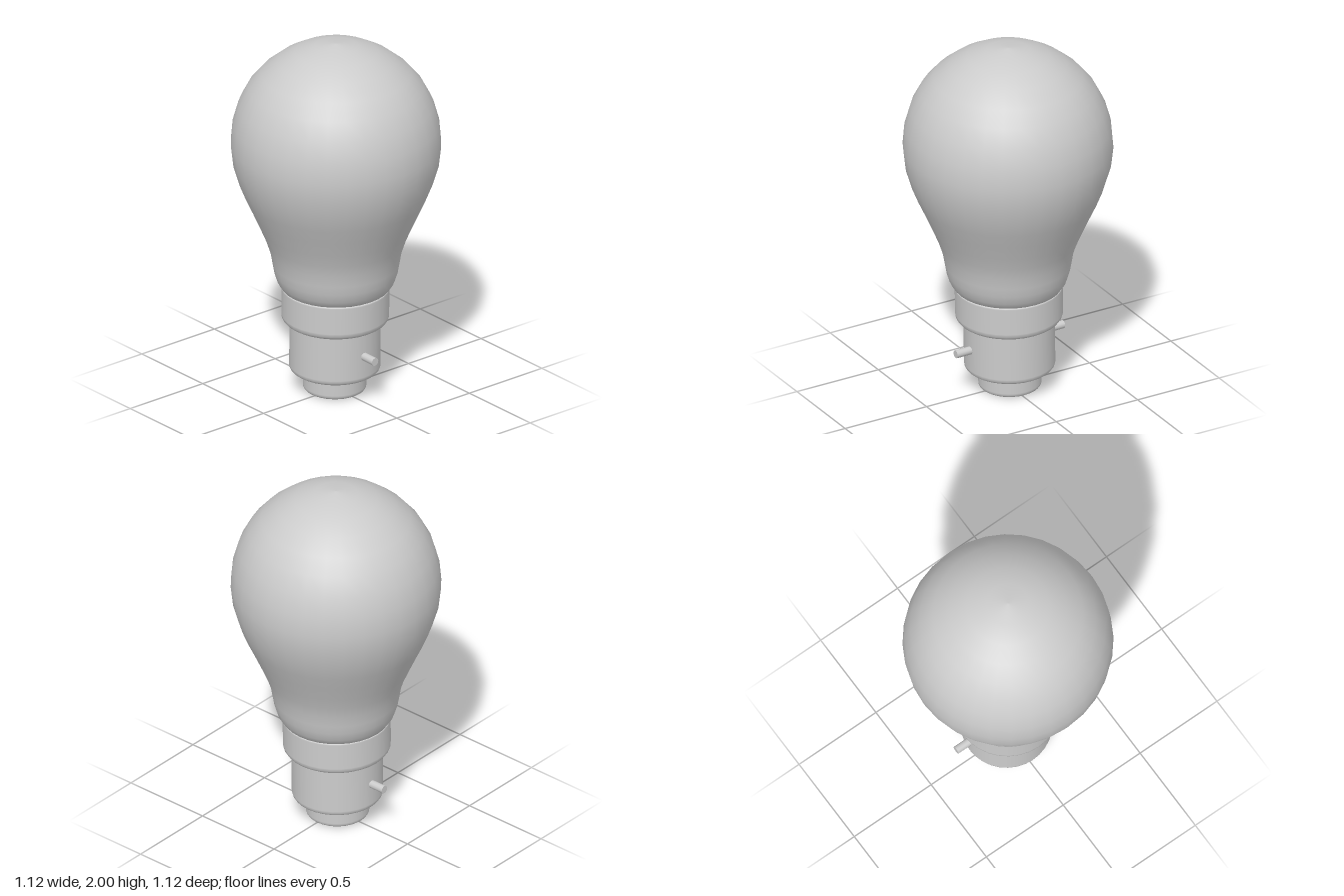
import * as THREE from 'three';

const material = new THREE.MeshStandardMaterial({ color: 0xcccccc });

// Turns a bottom-to-top [radius, height] profile about the y axis
function turned(name, profile) {
  const points = profile.map(([r, y]) => new THREE.Vector2(r, y));
  const mesh = new THREE.Mesh(new THREE.LatheGeometry(points, 32), material);
  mesh.name = name;
  return mesh;
}

// Closed drum profile with small rounded bottom and top edges
function drum(radius, bottom, top, bottomRound, topRound) {
  const profile = [[0, bottom], [radius - bottomRound - 0.004, bottom]];
  for (let i = 0; i <= 4; i++) {
    const a = (i / 4) * Math.PI / 2;
    profile.push([radius - bottomRound * (1 - Math.sin(a)), bottom + bottomRound * (1 - Math.cos(a))]);
  }
  profile.push([radius, bottom + bottomRound + 0.004], [radius, top - topRound - 0.004]);
  for (let i = 0; i <= 3; i++) {
    const a = (i / 3) * Math.PI / 2;
    profile.push([radius - topRound * (1 - Math.cos(a)), top - topRound * (1 - Math.sin(a))]);
  }
  profile.push([radius - topRound - 0.004, top], [0, top]);
  return profile;
}

export function createModel() {
  const model = new THREE.Group();
  model.name = 'lightBulb';

  // Pear-shaped glass, closed below inside the collar
  model.add(turned('glassBulb', [
    [0, 0.585], [0.265, 0.587], [0.288, 0.6], [0.311, 0.635], [0.327, 0.685], [0.336, 0.735],
    [0.347, 0.8], [0.37, 0.87], [0.4, 0.942], [0.441, 1.035], [0.48, 1.12], [0.512, 1.2],
    [0.545, 1.31], [0.558, 1.425], [0.548, 1.54], [0.517, 1.65], [0.465, 1.75],
    [0.398, 1.83], [0.312, 1.9], [0.22, 1.952], [0.115, 1.986], [0, 2],
  ]));

  // Metal cap, sitting very slightly tilted on the glass
  const cap = new THREE.Group();
  cap.name = 'bayonetCap';
  cap.position.set(-0.004, 0.6, 0);
  cap.rotation.z = -0.0135;
  model.add(cap);

  const parts = [
    turned('collar', drum(0.286, 0.402, 0.596, 0.035, 0.006)),
    turned('capBody', drum(0.242, 0.117, 0.43, 0.028, 0.006)),
    turned('contactBase', drum(0.168, 0.004, 0.14, 0.022, 0.006)),
  ];

  // Two locking pins, left and right
  for (const side of [1, -1]) {
    const geometry = new THREE.CylinderGeometry(0.022, 0.022, 0.13, 12);
    geometry.rotateZ(Math.PI / 2);
    const pin = new THREE.Mesh(geometry, material);
    pin.name = side > 0 ? 'leftPin' : 'rightPin';
    pin.position.set(side * 0.265, 0.27, 0);
    parts.push(pin);
  }

  for (const part of parts) {
    part.position.y -= 0.6;
    cap.add(part);
  }
  return model;
}
